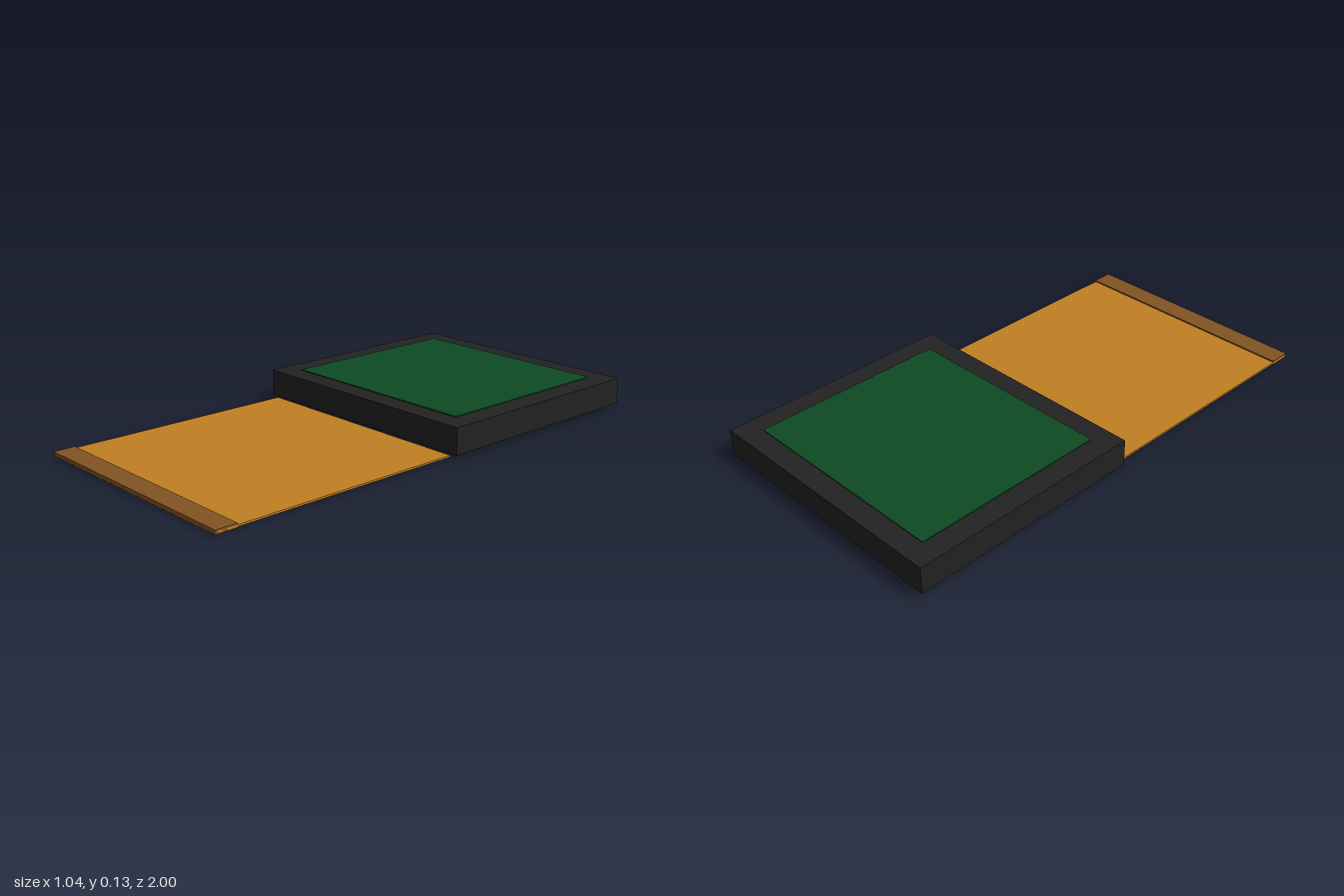
import * as THREE from 'three';

function material(name, color) {
  const m = new THREE.MeshStandardMaterial({ color });
  m.name = name;
  return m;
}

export function createModel() {
  const model = new THREE.Group();
  model.name = 'displayModule';

  const black = material('black housing', 0x222222);
  const green = material('dark green screen', 0x0e4a23);
  const amber = material('amber film', 0xc08022);
  const brown = material('brown stiffener', 0x825424);
  const gold = material('gold contact', 0xc8b045);

  // Box given by its extents on each axis
  function box(name, mat, [x0, x1], [y0, y1], [z0, z1]) {
    const mesh = new THREE.Mesh(new THREE.BoxGeometry(x1 - x0, y1 - y0, z1 - z0), mat);
    mesh.position.set((x0 + x1) / 2, (y0 + y1) / 2, (z0 + z1) / 2);
    mesh.name = name;
    model.add(mesh);
  }

  // Display housing with a thin screen plate on top
  box('housing', black, [-0.522, 0.522], [0.019, 0.125], [-1, -0.044]);
  box('screen', green, [-0.435, 0.435], [0.124, 0.129], [-0.916, -0.128]);

  // Flexible ribbon cable and the stiffener at its free end
  box('ribbon', amber, [-0.49, 0.49], [0.006, 0.013], [-0.044, 0.99]);
  box('stiffener', brown, [-0.49, 0.49], [0.003, 0.019], [0.913, 1]);

  // Row of contacts under the stiffener
  const count = 18;
  const pitch = 0.0515;
  const half = 0.0145;
  for (let i = 0; i < count; i++) {
    const x = (i - (count - 1) / 2) * pitch;
    box('contact', gold, [x - half, x + half], [0, 0.004], [0.918, 0.998]);
  }

  return model;
}
